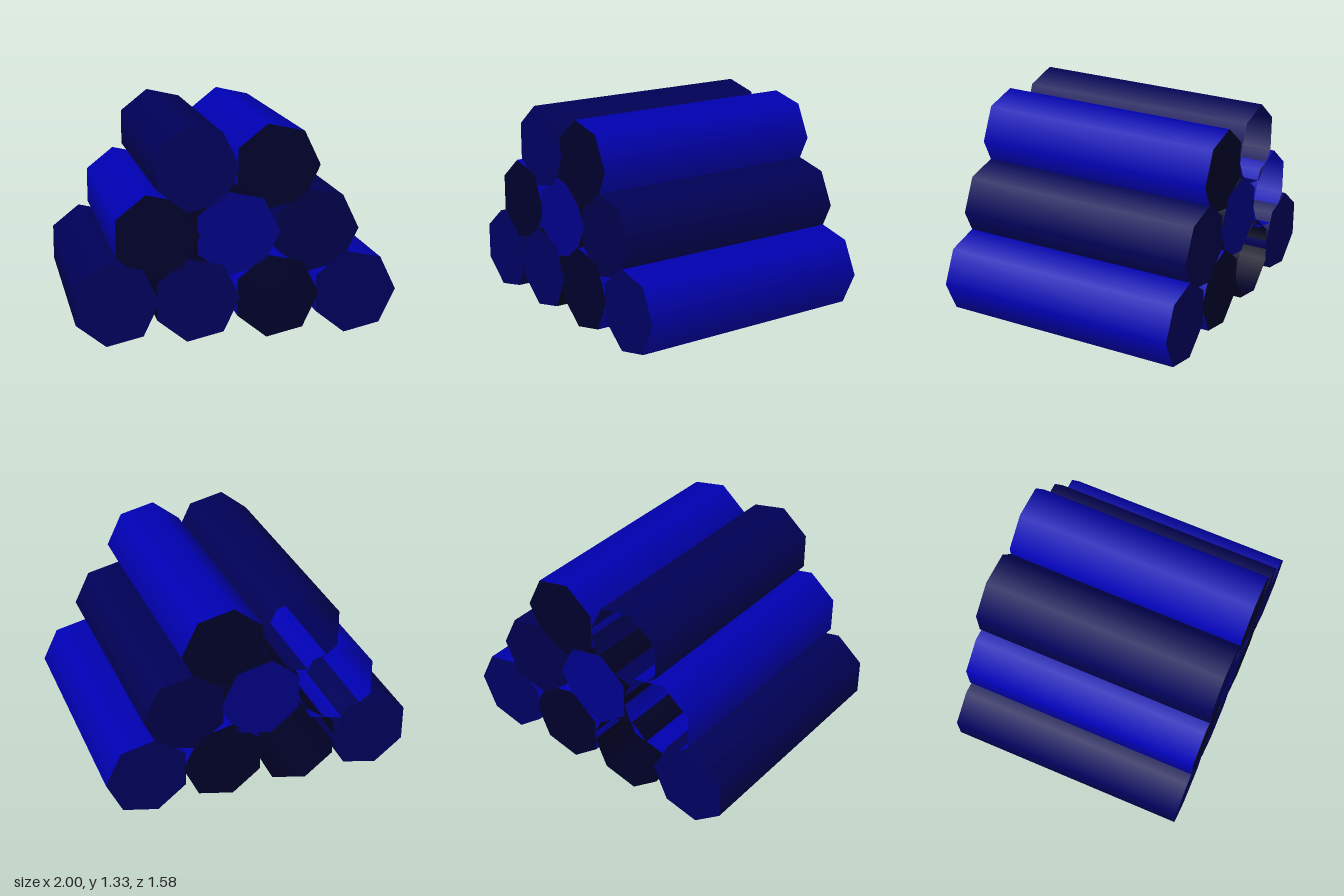
import * as THREE from 'three';

const R = 0.269;       // pipe radius (seven sides, one corner towards +x)
const LENGTH = 1.576;  // along z

function material(name, color) {
  const m = new THREE.MeshStandardMaterial({ color, side: THREE.DoubleSide });
  m.name = name;
  return m;
}

export function createModel() {
  const group = new THREE.Group();
  group.name = 'pipeStack';

  const mats = {
    brightSide: material('bright blue side', 0x0000b4),
    navySide: material('navy side', 0x000058),
    blackSide: material('blackish side', 0x000024),
    blueEnd: material('blue end', 0x00008a),
    navyEnd: material('navy end', 0x000060),
    deepEnd: material('deep navy end', 0x00004c),
    blackEnd: material('blackish end', 0x00002c),
  };

  // Smooth seven-sided wall, and one disc for each end
  const wall = new THREE.CylinderGeometry(R, R, LENGTH, 7, 1, true, Math.PI / 2);
  wall.rotateX(Math.PI / 2);
  const frontDisc = new THREE.CircleGeometry(R, 7);
  frontDisc.translate(0, 0, LENGTH / 2);
  const backDisc = new THREE.CircleGeometry(R, 7, Math.PI);
  backDisc.rotateY(Math.PI);
  backDisc.translate(0, 0, -LENGTH / 2);

  // x, y, side, end, closed at the back
  const pipes = [
    [-0.758, 0.264, 'navySide', 'navyEnd', true],
    [-0.262, 0.264, 'blackSide', 'navyEnd', false],
    [0.235, 0.264, 'brightSide', 'blackEnd', true],
    [0.731, 0.264, 'brightSide', 'navyEnd', true],
    [-0.510, 0.669, 'brightSide', 'blackEnd', false],
    [-0.014, 0.669, 'blackSide', 'blueEnd', true],
    [0.483, 0.669, 'navySide', 'deepEnd', true],
    [-0.262, 1.074, 'navySide', 'navyEnd', false],
    [0.235, 1.074, 'brightSide', 'blackEnd', true],
  ];

  pipes.forEach(([x, y, side, end, closed], i) => {
    const pipe = new THREE.Group();
    pipe.name = `pipe${i + 1}`;
    pipe.position.set(x, y, 0);
    const add = (name, geometry, mat) => {
      const mesh = new THREE.Mesh(geometry, mats[mat]);
      mesh.name = name;
      pipe.add(mesh);
    };
    add('pipeWall', wall, side);
    add('frontEnd', frontDisc, end);
    if (closed) add('backEnd', backDisc, end);
    group.add(pipe);
  });

  return group;
}
